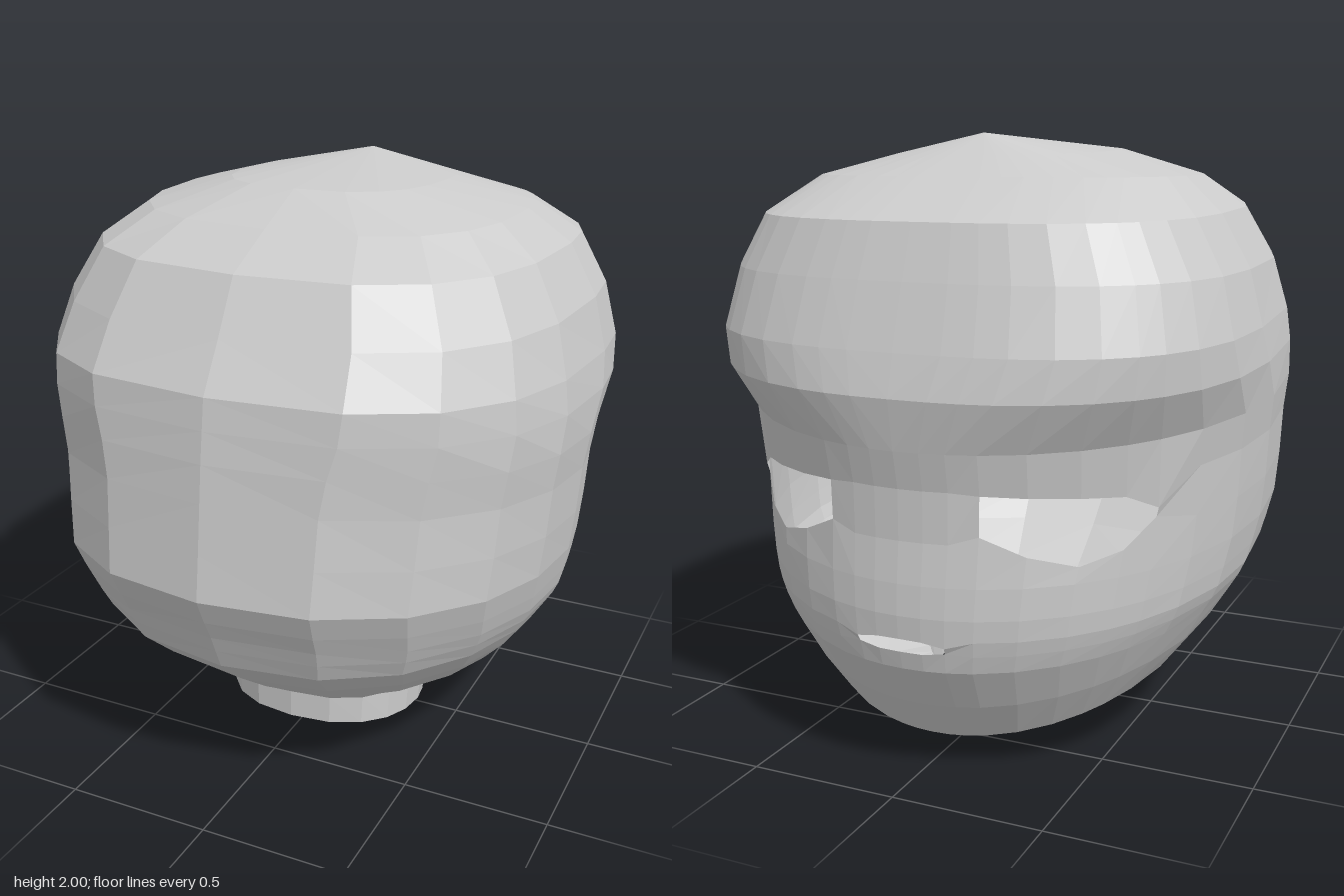
import * as THREE from 'three';

const { smoothstep, degToRad } = THREE.MathUtils;

// Head cross-sections, bottom to top: [face z, face y, nape z, nape y, half width]
const JAW = [
  [-0.33, 0.13, 0.37, 0.16, 0.36],
  [-0.58, 0.085, 0.45, 0.215, 0.47],
  [-0.73, 0.10, 0.56, 0.29, 0.64],
  [-0.83, 0.24, 0.72, 0.41, 0.73],
  [-0.92, 0.39, 0.85, 0.53, 0.79],
];
const FACE = [
  [-0.935, 0.45, 0.88, 0.60, 0.82], // lower lip
  [-0.945, 0.50, 0.905, 0.66, 0.84], // upper lip
  [-0.95, 0.57, 0.94, 0.73, 0.855],
  [-0.945, 0.67, 0.98, 0.82, 0.875],
  [-0.93, 0.80, 0.96, 0.97, 0.89], // lower eyelid
  [-0.93, 0.96, 0.94, 1.13, 0.90], // upper eyelid
  [-0.955, 1.08, 0.925, 1.25, 0.915],
];
const SKULL = [
  [-0.98, 1.24, 0.91, 1.35, 0.92], // brow
  [-0.945, 1.37, 0.895, 1.45, 0.905],
  [-0.88, 1.57, 0.80, 1.60, 0.86],
  [-0.82, 1.74, 0.70, 1.77, 0.765],
  [-0.58, 1.865, 0.50, 1.865, 0.63],
  [-0.45, 1.93, 0.30, 1.955, 0.35],
  [-0.321, 2, -0.319, 2, 0], // crown point
];
const NECK = [[-0.30, 0, 0.37, 0.06, 0.355], JAW[0]];

// Column angles from the middle of the face round to the nape, denser on the face
const HALF = [0, 5, 10, 16, 25, 35, 44, 51, 61, 74, 88, 103, 120, 139, 159, 180];
const ANGLES = [...HALF, ...HALF.slice(1, -1).reverse().map((a) => -a)];
const COUNT = ANGLES.length;
const half = (i) => Math.min(i, COUNT - i); // mirrored column index

// Openings: the band above ring `low` is left out between two columns
const EYE = { low: 9, from: 3, to: 7, bottom: [0.83, 0.77, 0.735, 0.775, 0.865], top: [0.955, 0.95, 0.945, 0.94, 0.895] };
const MOUTH = { low: 5, from: 0, to: 2, bottom: [0.45, 0.45, 0.46], top: [0.495, 0.493, 0.48] };

function ringPoint([zf, yf, zb, yb, w], degrees) {
  const t = degToRad(degrees);
  const s = Math.sin(t), c = Math.cos(t);
  // the skull is squarer than the face and widest further forward
  const skull = smoothstep(yf, 1.08, 1.37);
  const n = c > 0 ? 2.03 + 0.75 * skull : 2.25 + 0.5 * smoothstep(yf, 0.9, 1.5);
  const zc = (zf + zb) / 2 - 0.11 * skull * w;
  // the jaw line is lifted at the sides
  const lift = 0.09 * smoothstep(w, 0.36, 0.6) * (1 - smoothstep(yf, 0.1, 0.6));
  const power = (v) => Math.sign(v) * Math.abs(v) ** (2 / n);
  const z = zc - (c > 0 ? zc - zf : zb - zc) * power(c);
  const y = yf + ((yb - yf) * (z - zf)) / (zb - zf) + lift * s * s;
  return [w * power(s), y, z];
}

// Skin consecutive rings, shaping and skipping the given openings
function skin(rings, openings, name, material) {
  const positions = [], index = [];
  rings.forEach((ring, r) => ANGLES.forEach((angle, i) => {
    const p = ringPoint(ring, angle);
    for (const o of openings) {
      const k = half(i) - o.from;
      if (k < 0 || half(i) > o.to) continue;
      if (r === o.low) p[1] = o.bottom[k];
      if (r === o.low + 1) p[1] = o.top[k];
    }
    positions.push(...p);
  }));
  for (let r = 0; r < rings.length - 1; r++) {
    for (let i = 0; i < COUNT; i++) {
      const j = (i + 1) % COUNT;
      const lo = Math.min(half(i), half(j)), hi = Math.max(half(i), half(j));
      if (openings.some((o) => r === o.low && lo >= o.from && hi <= o.to)) continue;
      const a = r * COUNT + i, b = r * COUNT + j, c = b + COUNT, d = a + COUNT;
      // mirror the diagonal so both sides match
      if (i < COUNT / 2) index.push(a, d, c, a, c, b);
      else index.push(a, d, b, b, d, c);
    }
  }
  const indexed = new THREE.BufferGeometry();
  indexed.setAttribute('position', new THREE.Float32BufferAttribute(positions, 3));
  indexed.setIndex(index);
  const geometry = indexed.toNonIndexed();
  geometry.computeVertexNormals();
  const mesh = new THREE.Mesh(geometry, material);
  mesh.name = name;
  return mesh;
}

export function createModel() {
  const group = new THREE.Group();
  group.name = 'hollowHead';
  const material = new THREE.MeshStandardMaterial({
    color: 0xcccccc, flatShading: true, side: THREE.DoubleSide,
  });
  // Skull and face with open eyes and mouth
  group.add(skin([...JAW, ...FACE, ...SKULL], [EYE, MOUTH], 'head', material));
  // Short neck, open at the bottom
  group.add(skin(NECK, [], 'neck', material));
  return group;
}
